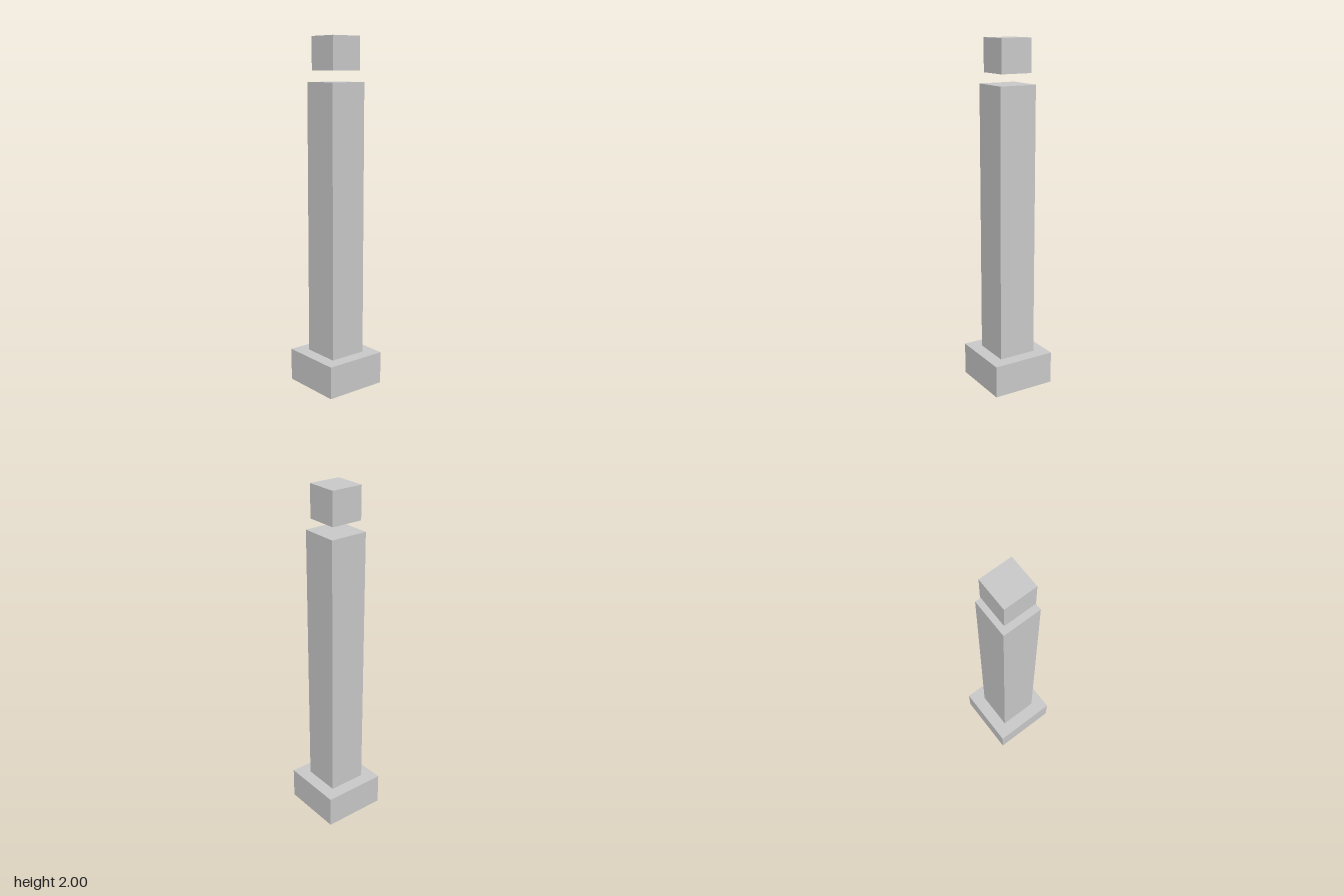
import * as THREE from 'three';

export function createModel() {
  const group = new THREE.Group();
  const material = new THREE.MeshStandardMaterial({ color: 0xcccccc, flatShading: true });

  // Square block standing between two heights
  function block(name, width, bottom, top) {
    const mesh = new THREE.Mesh(new THREE.BoxGeometry(width, top - bottom, width), material);
    mesh.name = name;
    mesh.position.y = (bottom + top) / 2;
    group.add(mesh);
  }

  block('base', 0.374, 0, 0.188);
  block('shaft', 0.224, 0.188, 1.752);
  // The cap floats above the shaft
  block('floatingCap', 0.188, 1.813, 2);

  return group;
}
